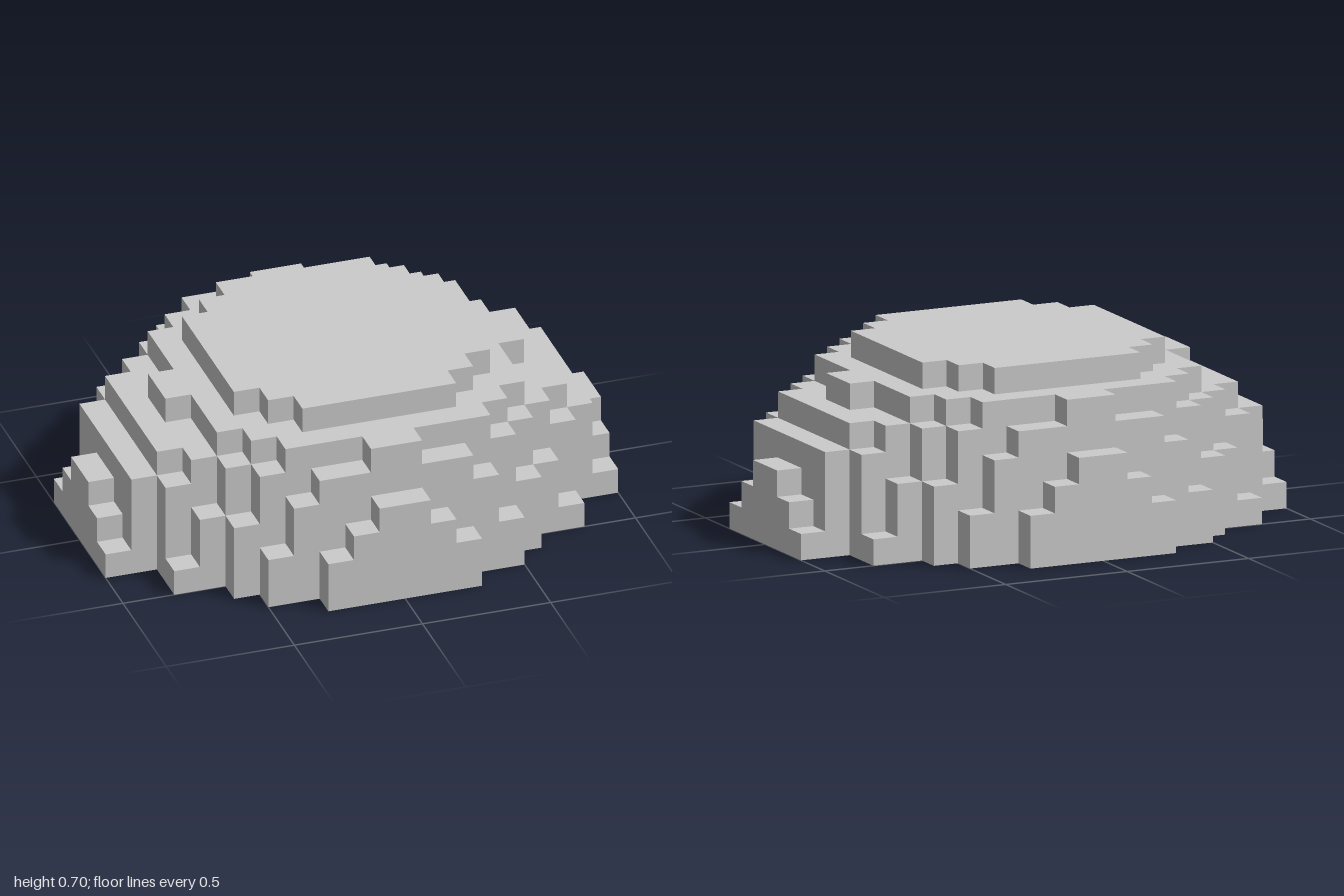
import * as THREE from 'three';

const CELL = 0.1;

// Half-width in cells of each row, from the middle row outward, one list per layer
const LAYERS = [
  [10, 10, 10, 8, 8, 6, 5, 3],
  [10, 10, 9, 8, 7, 6, 5, 3],
  [10, 9, 9, 8, 7, 6, 4, 2],
  [9, 9, 9, 8, 6, 5, 4, 1],
  [8, 8, 8, 7, 6, 5, 3],
  [7, 6, 6, 6, 5, 4, 1],
  [5, 5, 5, 4, 3],
];

// Stepped outline: one quadrant, mirrored into the other three
function layerShape(widths) {
  const quad = [];
  widths.forEach((w, k) => {
    if (k > 0 && w !== widths[k - 1]) quad.push([widths[k - 1], k], [w, k]);
  });
  const last = widths.length;
  quad.unshift([widths[0], 0]);
  quad.push([widths[last - 1], last]);
  const right = quad.slice(1);
  const back = [...right].reverse();
  const points = [
    ...right,
    ...back.map(([x, z]) => [-x, z]),
    ...right.map(([x, z]) => [-x, -z]),
    ...back.map(([x, z]) => [x, -z]),
  ];
  return new THREE.Shape(points.map(([x, z]) => new THREE.Vector2(x * CELL, z * CELL)));
}

export function createModel() {
  const model = new THREE.Group();
  model.name = 'steppedDome';
  const material = new THREE.MeshStandardMaterial({ color: 0xcccccc, flatShading: true });

  // Stack of one-cell-high slabs
  LAYERS.forEach((widths, j) => {
    const geometry = new THREE.ExtrudeGeometry(layerShape(widths), {
      depth: CELL,
      bevelEnabled: false,
    });
    geometry.rotateX(-Math.PI / 2);
    const slab = new THREE.Mesh(geometry, material);
    slab.name = `domeLayer${j + 1}`;
    slab.position.y = j * CELL;
    model.add(slab);
  });

  return model;
}
